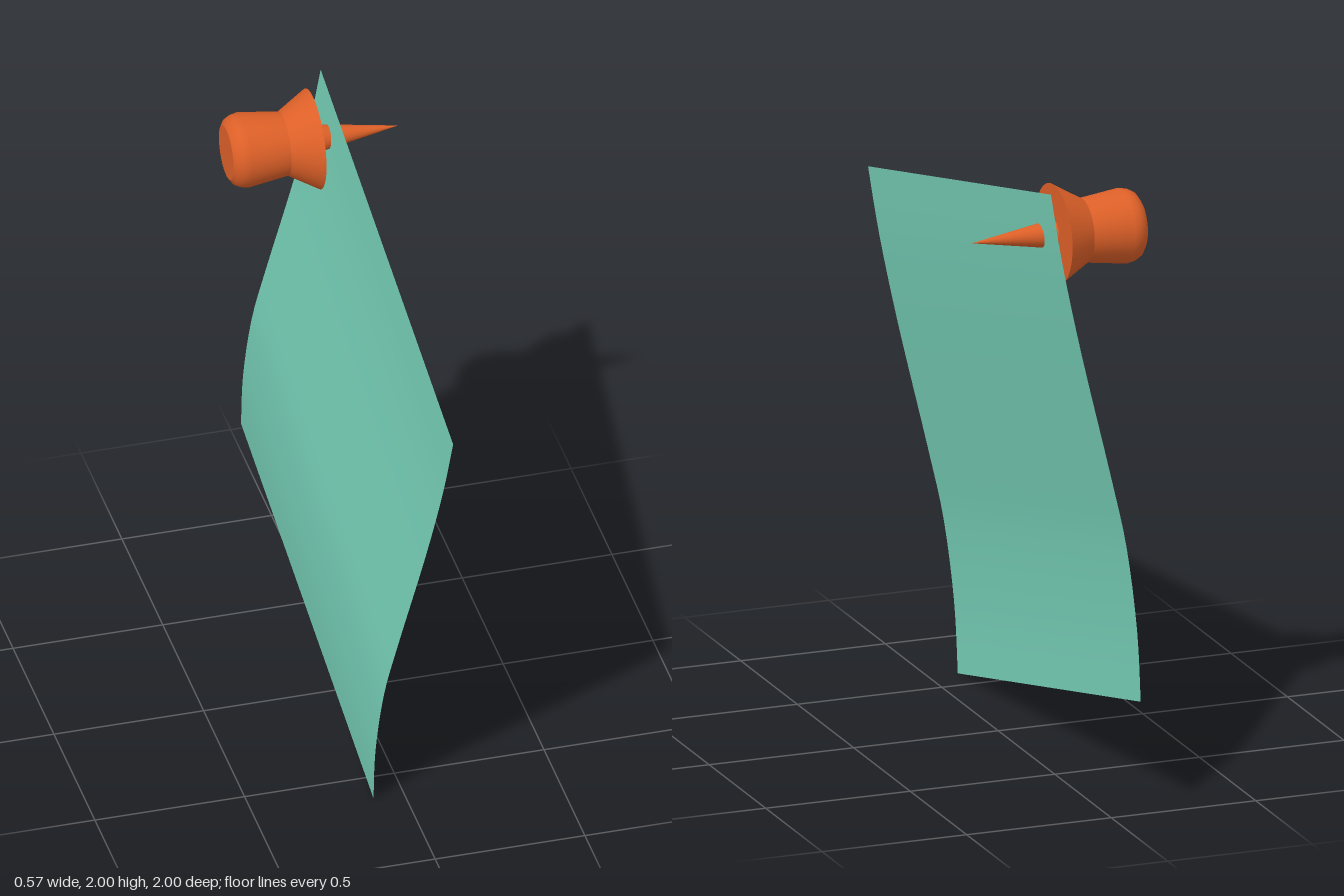
import * as THREE from 'three';

export function createModel() {
  const model = new THREE.Group();
  const paperMat = new THREE.MeshStandardMaterial({ color: 0x74ccb4, side: THREE.DoubleSide });
  paperMat.name = 'mint paper';
  const pinMat = new THREE.MeshStandardMaterial({ color: 0xdd6028 });
  pinMat.name = 'orange plastic';

  // Curled square sheet: bend follows a profile from top edge to bottom edge
  const size = 1.664;
  const bend = new THREE.SplineCurve([
    [0, 0.06], [0.14, 0.04], [0.32, 0], [0.56, -0.065],
    [0.7, -0.098], [0.86, -0.11], [1, -0.102],
  ].map(([s, x]) => new THREE.Vector2(s, x)));
  const rows = 24;
  const sheet = new THREE.PlaneGeometry(size, size, 1, rows);
  const pos = sheet.attributes.position;
  for (let i = 0; i < pos.count; i++) {
    const p = bend.getPoint(Math.floor(i / 2) / rows);
    pos.setY(i, size * (0.5 - p.x));
    pos.setZ(i, p.y);
  }
  sheet.rotateZ(Math.atan2(0.38, 1.62)); // hangs askew from the pin
  sheet.rotateY(Math.PI / 2);
  sheet.computeVertexNormals();
  const paper = new THREE.Mesh(sheet, paperMat);
  paper.name = 'paper';
  paper.position.y = 1;
  model.add(paper);

  // Push pin: lathe sections kept separate so their shared rims stay sharp
  const pin = new THREE.Group();
  pin.name = 'pushPin';
  const sections = {
    headCap: [[0, -0.29], [0.09, -0.29]],
    headGrip: [[0.09, -0.29], [0.108, -0.278], [0.118, -0.26], [0.123, -0.235], [0.105, -0.1]],
    headFlare: [[0.105, -0.1], [0.165, 0]],
    headUnderside: [[0.165, 0], [0, 0]],
    needle: [[0.048, 0], [0, 0.285]],
  };
  for (const [name, pts] of Object.entries(sections)) {
    const geo = new THREE.LatheGeometry(pts.map(([r, y]) => new THREE.Vector2(r, y)), 40);
    const mesh = new THREE.Mesh(geo, pinMat);
    mesh.name = name;
    pin.add(mesh);
  }
  pin.rotation.z = -Math.PI / 2; // point along +x
  pin.position.set(0, 1.824, -0.493);
  model.add(pin);

  return model;
}
